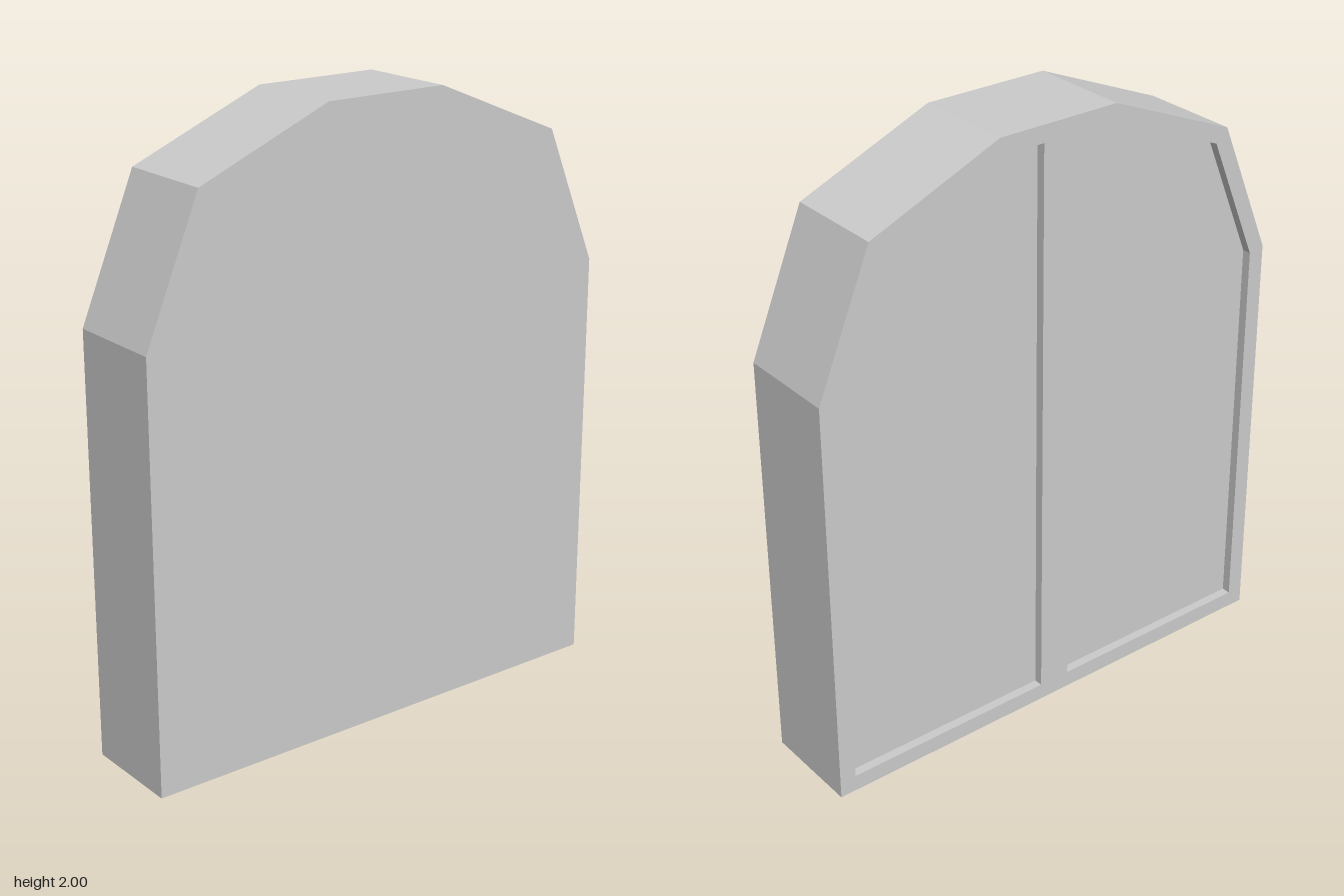
import * as THREE from 'three';

const HALF_W = 0.84, HEIGHT = 2, RADIUS = 0.63, HALF_D = 0.168;
const BORDER = 0.055, RECESS = 0.03;

// Right half of the arched outline, moved inward by t (two facets per shoulder)
function halfOutline(t) {
  const side = t * Math.tan(Math.PI / 16);
  const diag = RADIUS * Math.SQRT1_2 - (t / Math.cos(Math.PI / 8)) * Math.SQRT1_2;
  const cx = HALF_W - RADIUS, cy = HEIGHT - RADIUS;
  return [
    [HALF_W - t, t],
    [HALF_W - t, cy - side],
    [cx + diag, cy + diag],
    [cx - side, HEIGHT - t],
  ].map(([x, y]) => new THREE.Vector2(x, y));
}

const mirror = (pts) => pts.map((p) => new THREE.Vector2(-p.x, p.y)).reverse();

function extrude(name, shape, depth, z) {
  const geometry = new THREE.ExtrudeGeometry(shape, { depth, bevelEnabled: false });
  geometry.translate(0, 0, z);
  const material = new THREE.MeshStandardMaterial({ color: 0xcccccc, flatShading: true });
  const mesh = new THREE.Mesh(geometry, material);
  mesh.name = name;
  return mesh;
}

export function createModel() {
  const group = new THREE.Group();
  group.name = 'archedSlab';

  // Solid slab; its back face is the floor of the two recesses
  const half = halfOutline(0);
  const outline = [...half, ...mirror(half)];
  group.add(extrude('slab', new THREE.Shape(outline), 2 * HALF_D - RECESS, -HALF_D + RECESS));

  // Raised rim and centre bar on the back, around two mirrored openings
  const frame = new THREE.Shape(outline);
  const opening = [
    new THREE.Vector2(BORDER, BORDER),
    ...halfOutline(BORDER),
    new THREE.Vector2(BORDER, HEIGHT - BORDER),
  ];
  frame.holes.push(new THREE.Path(opening), new THREE.Path(mirror(opening)));
  group.add(extrude('backFrame', frame, RECESS, -HALF_D));

  return group;
}
